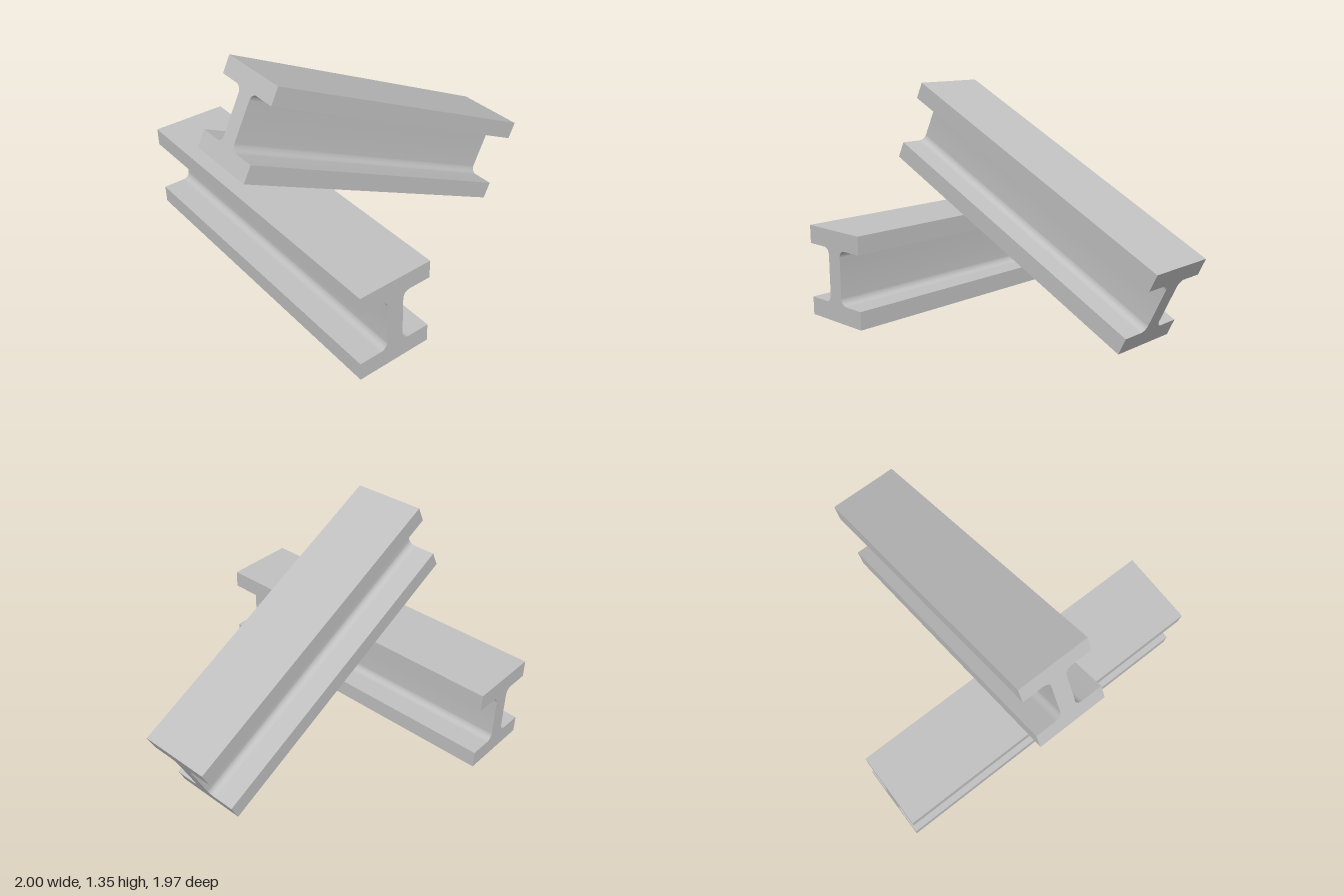
import * as THREE from 'three';
import { toCreasedNormals } from 'three/addons/utils/BufferGeometryUtils.js';

const WIDTH = 0.444, HEIGHT = 0.53, FLANGE = 0.106, WEB = 0.1, FILLET = 0.042;

// I-section outline with rounded corners where the web meets the flanges
function beamSection() {
  const w = WIDTH / 2, h = HEIGHT / 2, t = h - FLANGE, b = WEB / 2, r = FILLET;
  const s = new THREE.Shape();
  s.moveTo(-w, -h);
  s.lineTo(w, -h);
  s.lineTo(w, -t);
  s.lineTo(b + r, -t);
  s.absarc(b + r, -t + r, r, -Math.PI / 2, -Math.PI, true);
  s.lineTo(b, t - r);
  s.absarc(b + r, t - r, r, Math.PI, Math.PI / 2, true);
  s.lineTo(w, t);
  s.lineTo(w, h);
  s.lineTo(-w, h);
  s.lineTo(-w, t);
  s.lineTo(-b - r, t);
  s.absarc(-b - r, t - r, r, Math.PI / 2, 0, true);
  s.lineTo(-b, -t + r);
  s.absarc(-b - r, -t + r, r, 0, -Math.PI / 2, true);
  s.lineTo(-w, -t);
  s.closePath();
  return s;
}

function makeBeam(name, length, material) {
  const geo = new THREE.ExtrudeGeometry(beamSection(), {
    depth: length, bevelEnabled: false, curveSegments: 12,
  });
  geo.translate(0, 0, -length / 2);
  const mesh = new THREE.Mesh(toCreasedNormals(geo, 0.5), material);
  mesh.name = name;
  return mesh;
}

export function createModel() {
  const group = new THREE.Group();
  group.name = 'steelBeams';
  const steel = new THREE.MeshStandardMaterial({ color: 0xc0c0c0 });
  steel.name = 'steel grey';

  // Level beam running front to back
  const level = makeBeam('levelBeam', 1.97, steel);
  level.position.set(-0.65, 0.315, 0);

  // Beam leaning across it, sloping down to +x
  const leaning = new THREE.Group();
  leaning.name = 'leaningBeam';
  const beam = makeBeam('leaningBeamBody', 1.97, steel);
  beam.rotation.y = Math.PI / 2;
  leaning.add(beam);
  leaning.rotation.z = -THREE.MathUtils.degToRad(26.5);
  leaning.position.set(0, 0.677, 0);

  group.add(level, leaning);
  return group;
}
